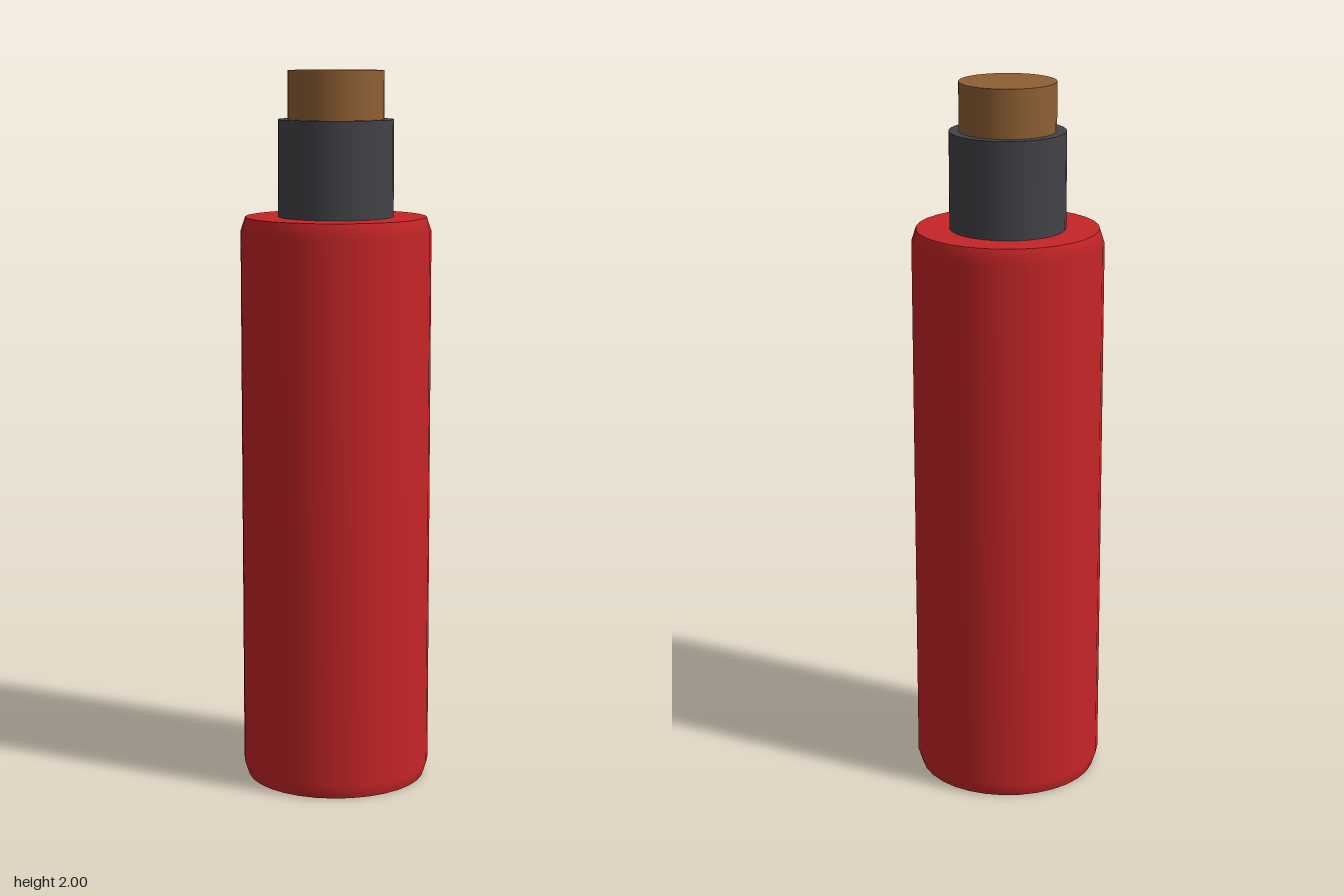
import * as THREE from 'three';

const SEGMENTS = 32;

function material(name, color) {
  const m = new THREE.MeshStandardMaterial({ color });
  m.name = name;
  return m;
}

export function createModel() {
  const model = new THREE.Group();
  model.name = 'bottle';
  const red = material('red', 0xc62527);
  const charcoal = material('charcoal', 0x434248);
  const cork = material('cork brown', 0x8f6033);

  function add(name, geometry, mat, parent, y = 0) {
    const mesh = new THREE.Mesh(geometry, mat);
    mesh.name = name;
    mesh.position.y = y;
    parent.add(mesh);
    return mesh;
  }

  // Body: round wall with a slim bevel at each end, closed by flat caps
  const body = new THREE.Group();
  body.name = 'body';
  model.add(body);
  const profile = [[0.252, 0], [0.265, 0.04], [0.265, 1.56], [0.252, 1.6]]
    .map(([r, y]) => new THREE.Vector2(r, y));
  add('bodyWall', new THREE.LatheGeometry(profile, SEGMENTS), red, body);
  const cap = new THREE.CircleGeometry(0.252, SEGMENTS);
  add('bodyTop', cap, red, body, 1.6).rotation.x = -Math.PI / 2;
  add('bodyBase', cap, red, body).rotation.x = Math.PI / 2;

  // Collar and stopper stacked on the body
  const stack = [
    ['collar', 0.16, 1.6, 1.867, charcoal],
    ['stopper', 0.133, 1.867, 2, cork],
  ];
  for (const [name, radius, bottom, top, mat] of stack) {
    const geometry = new THREE.CylinderGeometry(radius, radius, top - bottom, SEGMENTS);
    add(name, geometry, mat, model, (bottom + top) / 2);
  }
  return model;
}
